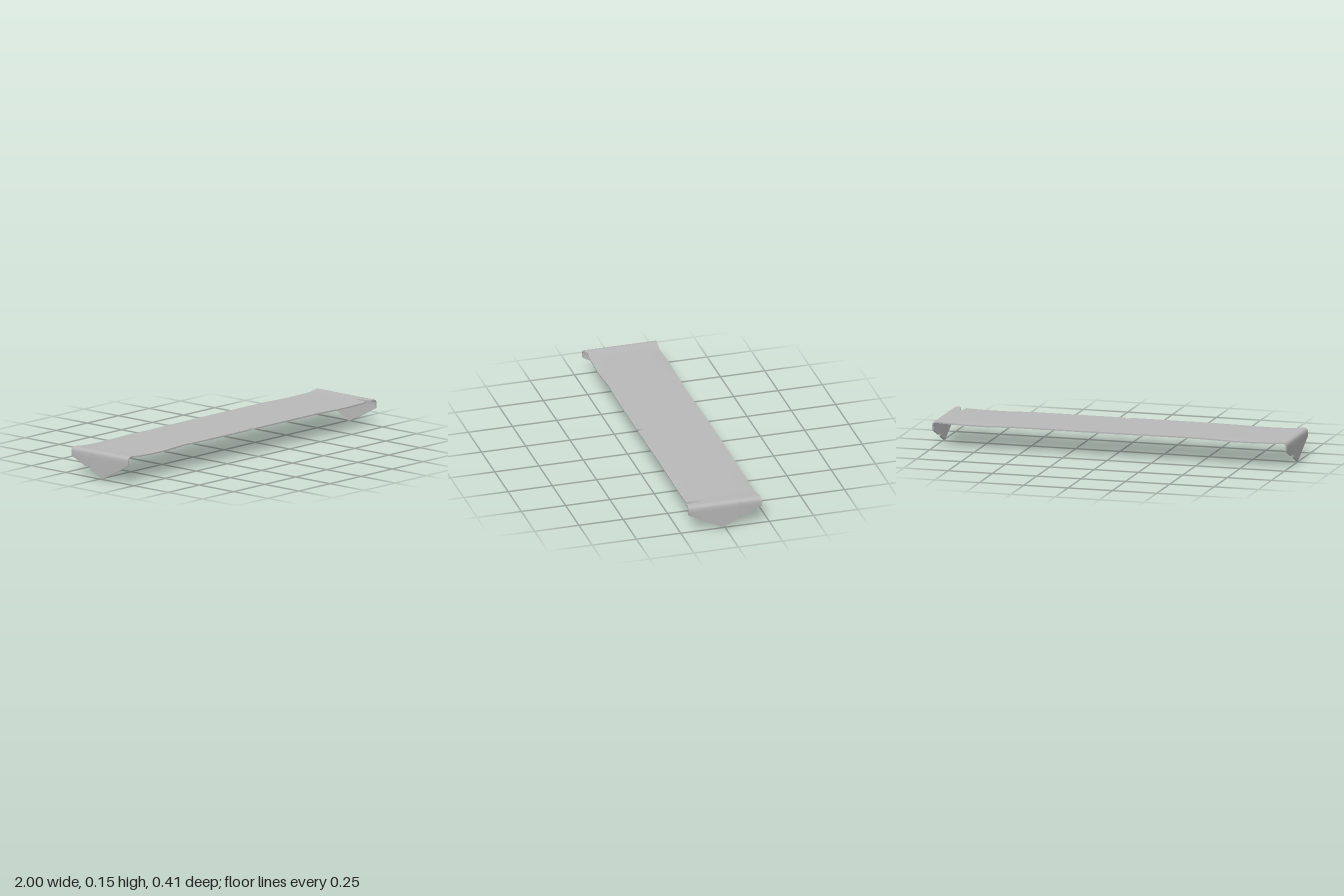
import * as THREE from 'three';

const THICK = 0.008;

// Piecewise-linear lookup through [input, output] pairs
function lookup(points, v) {
  if (v <= points[0][0]) return points[0][1];
  for (let i = 1; i < points.length; i++) {
    const [a, fa] = points[i - 1], [b, fb] = points[i];
    if (v <= b) return fa + (fb - fa) * (v - a) / (b - a);
  }
  return points[points.length - 1][1];
}

// Front and back hems along x, with a small nick and a long tear in the front one
const frontHem = [[-0.98, 0.206], [-0.95, 0.19], [-0.9, 0.195], [-0.7, 0.2], [-0.54, 0.194], [-0.4, 0.199],
  [0, 0.2], [0.015, 0.165], [0.026, 0.2], [0.925, 0.197], [0.932, 0.1], [0.955, 0.204], [0.98, 0.206]];
const backHem = [[-0.98, -0.208], [-0.9, -0.199], [-0.7, -0.202], [-0.4, -0.194], [0, -0.201],
  [0.7, -0.201], [0.9, -0.198], [0.98, -0.208]];
// Pointed lower edge of the hanging flaps along z, with a torn step at the back
const flapEdge = [[-0.206, 0.1], [-0.107, 0.056], [-0.074, 0.06], [-0.07, 0.04], [0.015, 0], [0.206, 0.1]];
const rowZ = [-0.206, -0.195, -0.17, -0.14, -0.107, -0.074, -0.07, -0.03, 0.015, 0.06, 0.1, 0.14, 0.17, 0.195, 0.206];

// Stations along the strip: [x, y], bend first, then across the flat top
const bend = [[0.998, 0], [1, 0.11], [1, 0.13], [0.996, 0.141], [0.988, 0.147], [0.975, 0.149]];
const topX = [-0.95, -0.9, -0.8, -0.7, -0.54, -0.4, -0.2, 0, 0.015, 0.026, 0.2, 0.4, 0.54, 0.7, 0.8, 0.9,
  0.925, 0.932, 0.955];
const topY = [[0, 0.145], [0.6, 0.145], [0.9, 0.145], [0.975, 0.149]];
const stations = [
  ...bend.map(([x, y]) => [-x, y]),
  ...topX.map(x => [x, lookup(topY, Math.abs(x))]),
  ...bend.slice().reverse(),
];
const COLS = stations.length, ROWS = rowZ.length;

// One point of the cloth, moved inwards by depth
function clothPoint(i, j, depth) {
  const [x, y] = stations[i];
  const a = stations[Math.max(i - 1, 0)], b = stations[Math.min(i + 1, COLS - 1)];
  const dx = b[0] - a[0], dy = b[1] - a[1], len = Math.hypot(dx, dy);
  const t = (rowZ[j] + 0.206) / 0.412;
  const z = THREE.MathUtils.lerp(lookup(backHem, x), lookup(frontHem, x), t);
  const isTip = i === 0 || i === COLS - 1;
  let py = isTip ? lookup(flapEdge, rowZ[j]) : y;
  // hems droop slightly near both ends of the top
  const ax = Math.abs(x);
  if (ax > 0.55 && ax < 0.96) {
    py -= 0.005 * Math.sin(Math.PI * (ax - 0.55) / 0.41) * Math.pow(Math.abs(2 * t - 1), 6);
  }
  if (isTip) return [x - Math.sign(x) * depth, py, z];
  return [x + dy / len * depth, py - dx / len * depth, z];
}

function makeGeometry(positions, index) {
  const g = new THREE.BufferGeometry();
  g.setAttribute('position', new THREE.Float32BufferAttribute(positions, 3));
  g.setIndex(index);
  g.computeVertexNormals();
  return g;
}

// Smooth face of the cloth: outer side at depth 0, inner side at full depth
function sheet(depth, flip) {
  const pos = [], index = [];
  for (let i = 0; i < COLS; i++) for (let j = 0; j < ROWS; j++) pos.push(...clothPoint(i, j, depth));
  for (let i = 0; i < COLS - 1; i++) {
    for (let j = 0; j < ROWS - 1; j++) {
      const a = i * ROWS + j, b = a + 1, c = a + ROWS, d = c + 1;
      if (flip) index.push(a, c, b, b, c, d);
      else index.push(a, b, c, b, d, c);
    }
  }
  return makeGeometry(pos, index);
}

// Narrow cut edge joining the two sides all the way round
function rim() {
  const loop = [];
  for (let i = 0; i < COLS - 1; i++) loop.push([i, ROWS - 1]);
  for (let j = ROWS - 1; j > 0; j--) loop.push([COLS - 1, j]);
  for (let i = COLS - 1; i > 0; i--) loop.push([i, 0]);
  for (let j = 0; j < ROWS - 1; j++) loop.push([0, j]);
  const pos = [], index = [];
  loop.forEach(([i, j], k) => {
    const [i2, j2] = loop[(k + 1) % loop.length];
    pos.push(...clothPoint(i, j, 0), ...clothPoint(i, j, THICK),
      ...clothPoint(i2, j2, 0), ...clothPoint(i2, j2, THICK));
    const n = k * 4;
    index.push(n, n + 1, n + 2, n + 1, n + 3, n + 2);
  });
  return makeGeometry(pos, index);
}

export function createModel() {
  const group = new THREE.Group();
  group.name = 'tableRunner';
  const cloth = new THREE.MeshStandardMaterial({ color: 0xb8b8b8 });
  cloth.name = 'greyCloth';
  const add = (name, geometry) => {
    const mesh = new THREE.Mesh(geometry, cloth);
    mesh.name = name;
    group.add(mesh);
  };
  add('outerCloth', sheet(0, false));
  add('innerCloth', sheet(THICK, true));
  add('clothHem', rim());
  return group;
}
